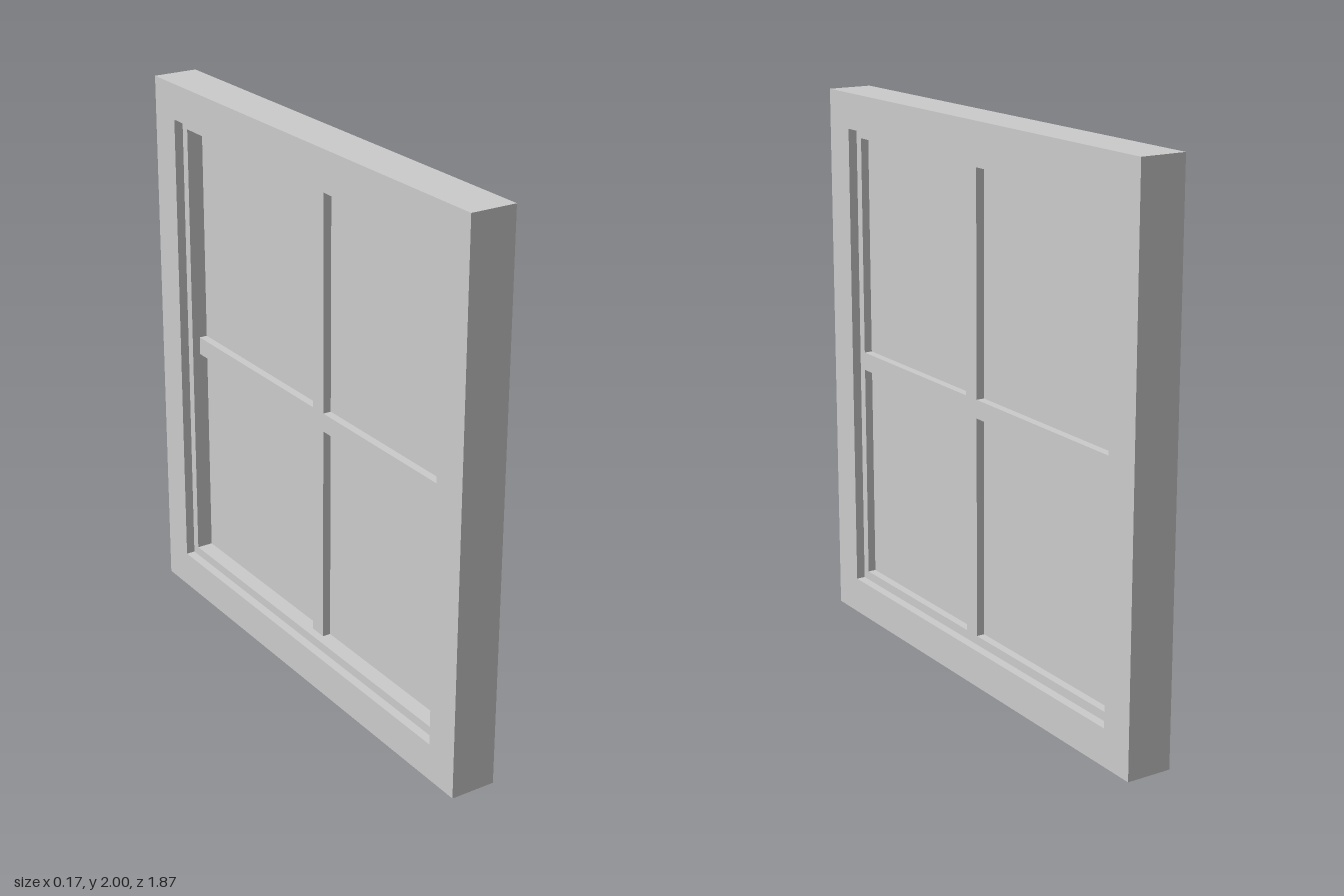
import * as THREE from 'three';

const material = new THREE.MeshStandardMaterial({ color: 0xcccccc });

// Rectangular ring spanning [-w, w] in z and [y0, y1], with an opening, from x0 to x1
function ring(name, outer, inner, x0, x1) {
  const trace = (path, { w, y0, y1 }) =>
    path.moveTo(-w, y0).lineTo(w, y0).lineTo(w, y1).lineTo(-w, y1).closePath();
  const shape = new THREE.Shape();
  trace(shape, outer);
  const hole = new THREE.Path();
  trace(hole, inner);
  shape.holes.push(hole);
  const geometry = new THREE.ExtrudeGeometry(shape, { depth: x1 - x0, bevelEnabled: false });
  geometry.rotateY(Math.PI / 2).translate(x0, 0, 0);
  const mesh = new THREE.Mesh(geometry, material);
  mesh.name = name;
  return mesh;
}

// Box given by its limits on each axis
function slab(name, [x0, x1], [y0, y1], [z0, z1]) {
  const mesh = new THREE.Mesh(new THREE.BoxGeometry(x1 - x0, y1 - y0, z1 - z0), material);
  mesh.position.set((x0 + x1) / 2, (y0 + y1) / 2, (z0 + z1) / 2);
  mesh.name = name;
  return mesh;
}

export function createModel() {
  const window = new THREE.Group();
  window.name = 'window';

  const outline = { w: 0.935, y0: 0, y1: 2 };
  const opening = { w: 0.802, y0: 0.135, y1: 1.87 };
  const sight = { w: 0.77, y0: 0.168, y1: 1.837 };

  // Outer frame and the thinner sash set back inside it
  window.add(ring('outerFrame', outline, opening, -0.083, 0.083));
  window.add(ring('sash', opening, sight, -0.05, 0.05));

  // Glazing bars, flush with the sash on one side only
  const barX = [-0.02, 0.05];
  const crossY = [0.97, 1.037];
  const postZ = [0.002, 0.068];
  window.add(slab('horizontalBar', barX, crossY, [-sight.w, sight.w]));
  window.add(slab('lowerVerticalBar', barX, [sight.y0, crossY[0]], postZ));
  window.add(slab('upperVerticalBar', barX, [crossY[1], sight.y1], postZ));

  // Four panes between the bars
  for (const y of [[sight.y0, crossY[0]], [crossY[1], sight.y1]]) {
    for (const z of [[-sight.w, postZ[0]], [postZ[1], sight.w]]) {
      window.add(slab('pane', [0.01, 0.02], y, z));
    }
  }
  return window;
}
